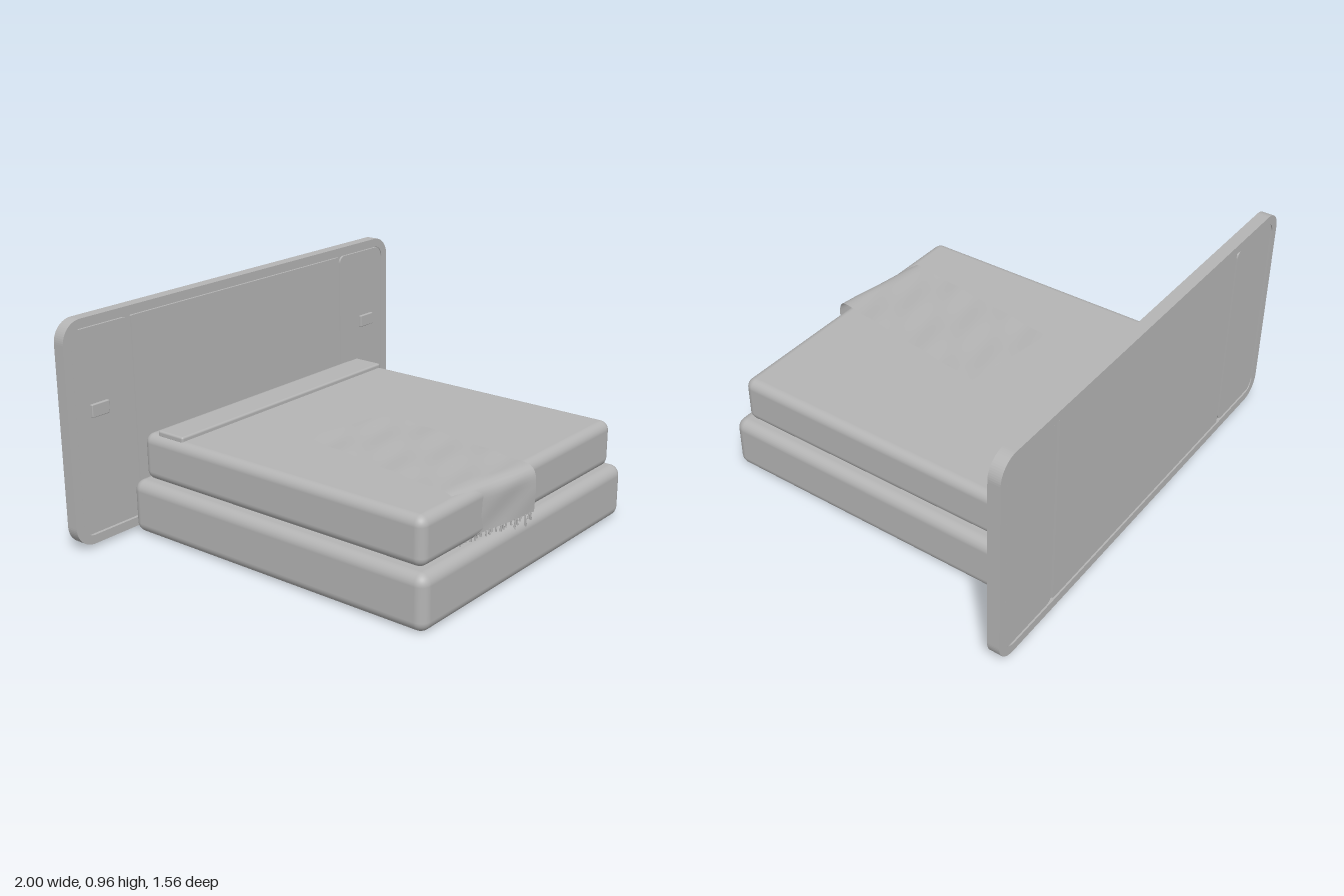
import * as THREE from 'three';
import { RoundedBoxGeometry } from 'three/addons/geometries/RoundedBoxGeometry.js';

const grey = new THREE.MeshStandardMaterial({ color: 0xb4b4b4 });
grey.name = 'plain grey';
const clothGrey = grey.clone();
clothGrey.name = 'cloth grey';
clothGrey.side = THREE.DoubleSide;

function add(parent, name, geometry, x = 0, y = 0, z = 0, material = grey) {
  const mesh = new THREE.Mesh(geometry, material);
  mesh.name = name;
  mesh.position.set(x, y, z);
  parent.add(mesh);
  return mesh;
}

// Soft block given by its limits
function block(parent, name, [x0, x1], [y0, y1], [z0, z1], radius, segments = 5) {
  return add(parent, name, new RoundedBoxGeometry(x1 - x0, y1 - y0, z1 - z0, segments, radius),
    (x0 + x1) / 2, (y0 + y1) / 2, (z0 + z1) / 2);
}

// Rounded rectangle outline
function roundedRect(target, x0, x1, y0, y1, r) {
  target.moveTo(x0 + r, y0);
  target.lineTo(x1 - r, y0);
  target.absarc(x1 - r, y0 + r, r, -Math.PI / 2, 0);
  target.lineTo(x1, y1 - r);
  target.absarc(x1 - r, y1 - r, r, 0, Math.PI / 2);
  target.lineTo(x0 + r, y1);
  target.absarc(x0 + r, y1 - r, r, Math.PI / 2, Math.PI);
  target.lineTo(x0, y0 + r);
  target.absarc(x0 + r, y0 + r, r, Math.PI, Math.PI * 1.5);
  return target;
}

function createHeadboard() {
  const group = new THREE.Group();
  group.name = 'headboard';
  const zBack = -0.788, zFront = -0.735;

  // Outer frame with rounded corners
  const frame = roundedRect(new THREE.Shape(), -1, 1, 0.015, 0.958, 0.09);
  frame.holes.push(roundedRect(new THREE.Path(), -0.962, 0.962, 0.053, 0.92, 0.055));
  add(group, 'headboardFrame', new THREE.ExtrudeGeometry(frame,
    { depth: zFront - zBack, bevelEnabled: false, curveSegments: 8 }), 0, 0, zBack);

  // Core seen at the bottom of the grooves
  const core = roundedRect(new THREE.Shape(), -0.97, 0.97, 0.045, 0.928, 0.05);
  add(group, 'headboardCore', new THREE.ExtrudeGeometry(core,
    { depth: 0.025, bevelEnabled: false }), 0, 0, -0.774);

  // Centre and side panels divided by narrow grooves
  for (const [name, x0, x1] of [['rightPanel', -0.956, -0.657],
    ['centrePanel', -0.645, 0.645], ['leftPanel', 0.657, 0.956]]) {
    const r = name === 'centrePanel' ? 0.004 : 0.03;
    const shape = roundedRect(new THREE.Shape(), x0, x1, 0.059, 0.914, r);
    add(group, name, new THREE.ExtrudeGeometry(shape,
      { depth: 0.045, bevelEnabled: false, curveSegments: 6 }), 0, 0, -0.784);
  }

  // Small switch plates on the side panels
  for (const s of [-1, 1]) {
    block(group, s > 0 ? 'leftSwitch' : 'rightSwitch',
      [s * 0.84 - 0.045, s * 0.84 + 0.045], [0.547, 0.602], [-0.745, -0.727], 0.004, 2);
  }
  return group;
}

function createThrow() {
  const group = new THREE.Group();
  group.name = 'throwBlanket';
  group.position.set(-0.085, 0, -0.08);
  group.rotation.y = -0.16;
  const width = 0.44, top = 0.438, front = 0.828, bend = 0.055, hem = 0.25;

  // Path from the far end, over the mattress edge and down to the hem
  const path = new THREE.CurvePath();
  const v = (z, y) => new THREE.Vector2(z, y);
  path.add(new THREE.LineCurve(v(0, top), v(front - bend, top)));
  path.add(new THREE.QuadraticBezierCurve(v(front - bend, top), v(front, top), v(front, top - bend)));
  path.add(new THREE.LineCurve(v(front, top - bend), v(front, hem)));

  // Sheet bent along the path, with gentle wrinkles
  const sheet = new THREE.PlaneGeometry(width, 1, 24, 60);
  const pos = sheet.attributes.position;
  for (let i = 0; i < pos.count; i++) {
    const x = pos.getX(i);
    const t = 0.5 - pos.getY(i);
    const p = path.getPoint(t);
    const ripple = 0.003 * Math.sin(t * 31 + x * 9) * Math.sin(x * 13 + t * 8);
    const flat = p.x < front - bend;
    pos.setXYZ(i, x, p.y + (flat ? ripple : 0), p.x + (flat ? 0 : ripple));
  }
  sheet.computeVertexNormals();
  add(group, 'throwSheet', sheet, 0, 0, 0, clothGrey);

  // Fringe of short tassels along the hem
  const count = 22;
  for (let i = 0; i < count; i++) {
    const length = 0.035 + 0.014 * Math.sin(i * 2.4);
    const tassel = add(group, 'tassel', new THREE.CylinderGeometry(0.003, 0.005, length, 5),
      (i + 0.5) / count * width - width / 2, hem - length / 2 + 0.003,
      front - 0.006 + 0.006 * Math.sin(i * 1.7));
    tassel.rotation.z = 0.2 * Math.sin(i * 3.1);
  }
  return group;
}

export function createModel() {
  const bed = new THREE.Group();
  bed.name = 'bed';
  block(bed, 'bedBase', [-0.705, 0.705], [0, 0.23], [-0.73, 0.765], 0.045);
  block(bed, 'mattress', [-0.662, 0.662], [0.23, 0.43], [-0.695, 0.725], 0.04);
  // Folded sheet band near the headboard
  block(bed, 'foldedSheet', [-0.638, 0.638], [0.42, 0.449], [-0.628, -0.487], 0.009, 3);
  bed.add(createHeadboard(), createThrow());
  return bed;
}
